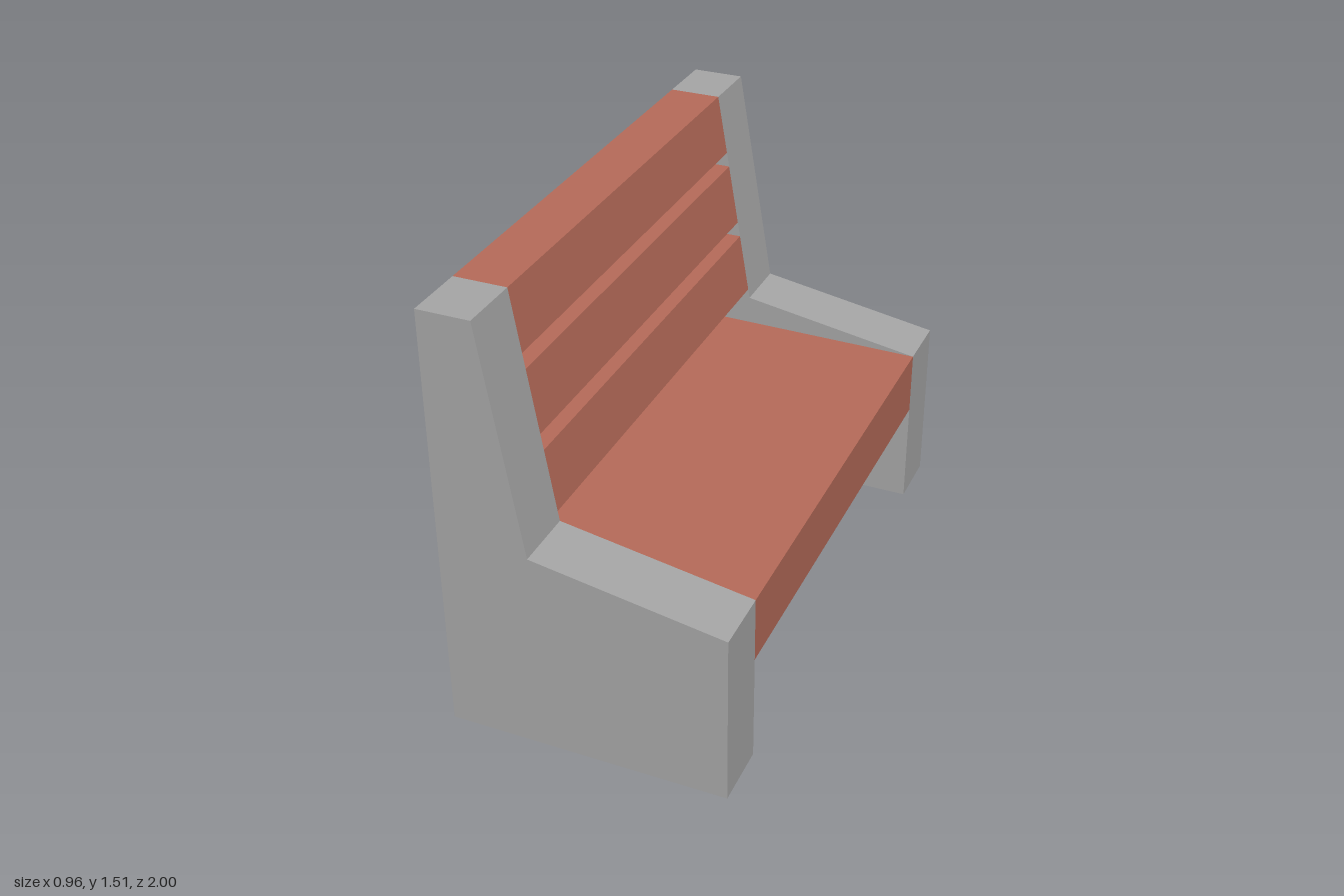
import * as THREE from 'three';

const BACK = -0.48, FRONT = 0.48, TOP = 1.51;
const INNER = 0.785, OUTER = 1;

// x of the sloping backrest face at height y
const slopeX = (y) => -0.30 + ((TOP - y) / (TOP - 0.725)) * 0.13;

export function createModel() {
  const concrete = new THREE.MeshStandardMaterial({ color: 0xa6a6a6 });
  concrete.name = 'concrete grey';
  const wood = new THREE.MeshStandardMaterial({ color: 0xb66b59 });
  wood.name = 'red brown wood';

  const bench = new THREE.Group();
  bench.name = 'bench';

  // Extrudes a side profile between two z positions
  function addPrism(name, points, z0, z1, material) {
    const shape = new THREE.Shape(points.map(([x, y]) => new THREE.Vector2(x, y)));
    const geometry = new THREE.ExtrudeGeometry(shape, { depth: z1 - z0, bevelEnabled: false });
    geometry.translate(0, 0, z0);
    const mesh = new THREE.Mesh(geometry, material);
    mesh.name = name;
    bench.add(mesh);
  }

  // Solid end supports
  const endProfile = [
    [BACK, 0], [FRONT, 0], [FRONT, 0.615],
    [slopeX(0.725), 0.725], [slopeX(TOP), TOP], [BACK, TOP],
  ];
  addPrism('leftEnd', endProfile, INNER, OUTER, concrete);
  addPrism('rightEnd', endProfile, -OUTER, -INNER, concrete);

  // Seat slab
  addPrism('seat', [[BACK, 0.385], [FRONT, 0.385], [FRONT, 0.615], [BACK, 0.625]],
    -INNER, INNER, wood);

  // Backrest boards with sloping fronts
  [[0.76, 0.975], [1.03, 1.248], [1.30, TOP]].forEach(([y0, y1], i) => {
    addPrism(`backBoard${i + 1}`,
      [[BACK, y0], [slopeX(y0), y0], [slopeX(y1), y1], [BACK, y1]],
      -INNER, INNER, wood);
  });

  return bench;
}
